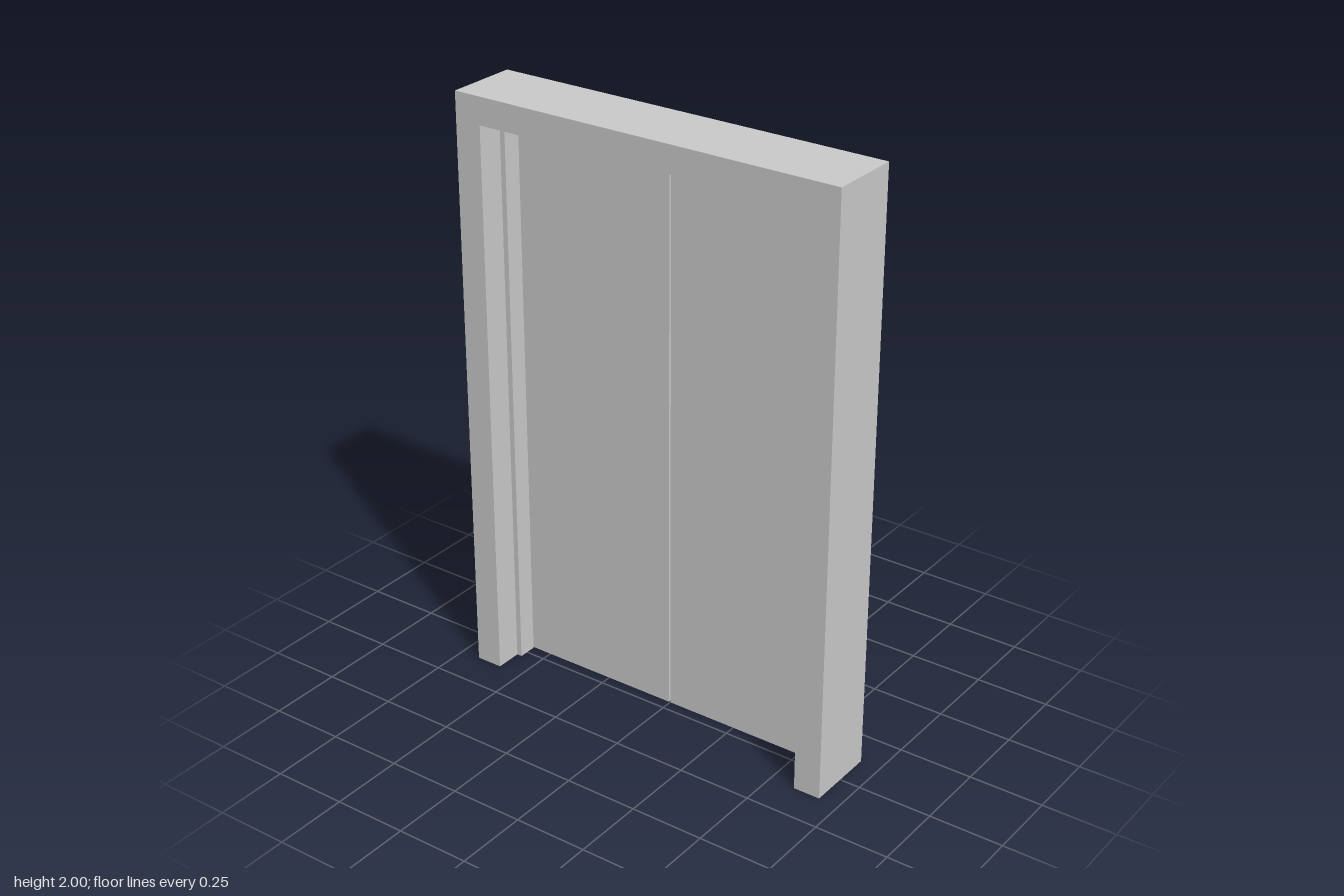
import * as THREE from 'three';

const material = new THREE.MeshStandardMaterial({ color: 0xcccccc, flatShading: true });

// Upside-down U (two jambs and a head) extruded from zBack to zFront
function portal(name, outerX, outerY, innerX, innerY, zBack, zFront) {
  const shape = new THREE.Shape([
    [-outerX, 0], [-innerX, 0], [-innerX, innerY], [innerX, innerY],
    [innerX, 0], [outerX, 0], [outerX, outerY], [-outerX, outerY],
  ].map(([x, y]) => new THREE.Vector2(x, y)));
  const geometry = new THREE.ExtrudeGeometry(shape, { depth: zFront - zBack, bevelEnabled: false });
  geometry.translate(0, 0, zBack);
  const mesh = new THREE.Mesh(geometry, material);
  mesh.name = name;
  return mesh;
}

export function createModel() {
  const model = new THREE.Group();
  model.name = 'doubleDoor';

  const openingX = 0.588, openingY = 1.91;
  const doorFront = -0.035, doorBack = -0.105;

  // Wide casing, with the stop the leaves close against
  model.add(portal('doorFrame', 0.68, 2, openingX, openingY, -0.123, 0.122));
  model.add(portal('doorStop', openingX, openingY, 0.57, 1.89, doorFront, 0.03));

  // Two flat leaves with a narrow clearance all round
  const clearance = 0.003;
  const width = openingX - 2 * clearance;
  const height = openingY - 2 * clearance;
  for (const side of [-1, 1]) {
    const leaf = new THREE.Mesh(new THREE.BoxGeometry(width, height, doorFront - doorBack), material);
    leaf.name = side > 0 ? 'leftDoorLeaf' : 'rightDoorLeaf';
    leaf.position.set(side * openingX / 2, openingY / 2, (doorFront + doorBack) / 2);
    model.add(leaf);
  }
  return model;
}
